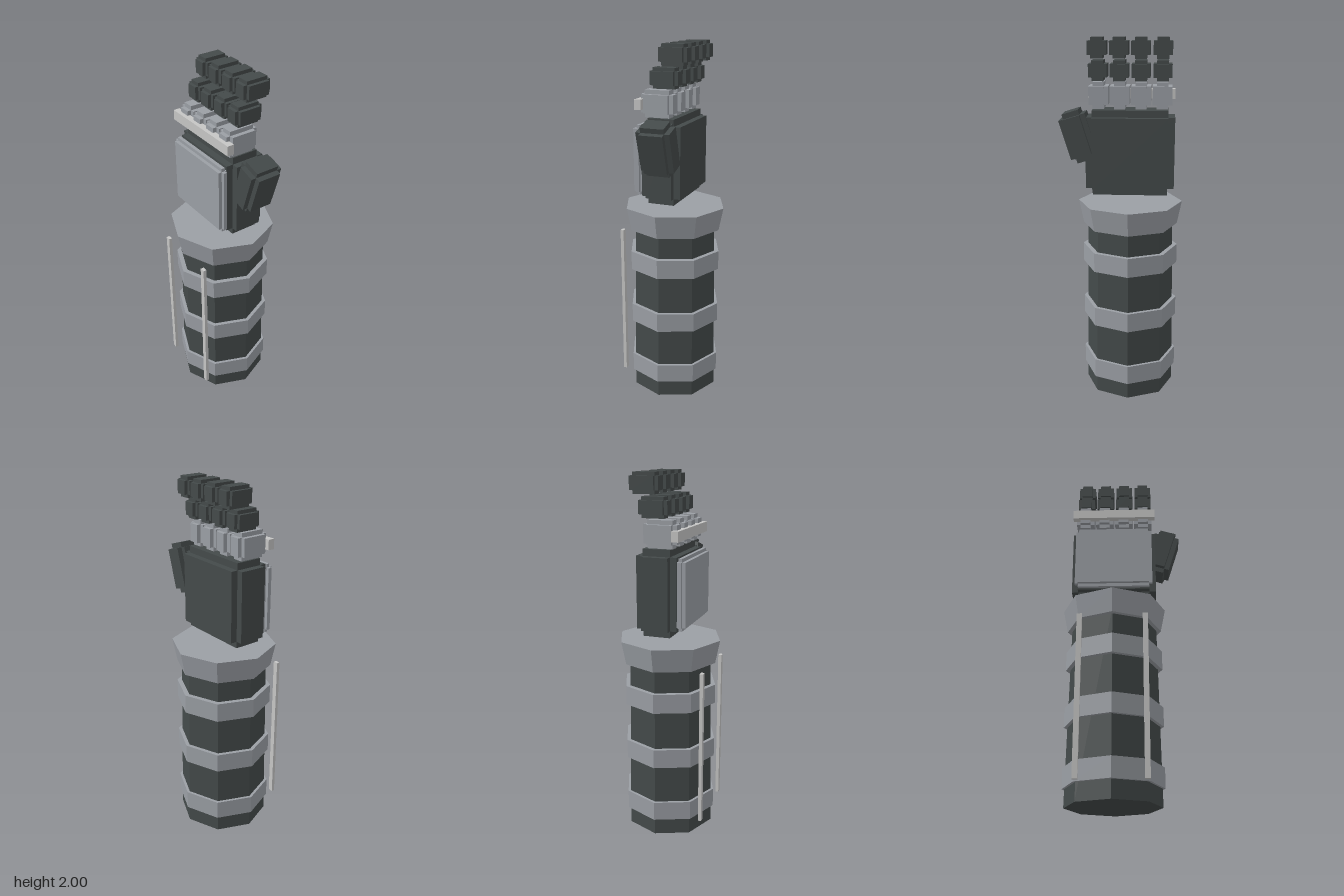
import * as THREE from 'three';

const AXIS = -0.049; // x of the arm's axis

export function createModel() {
  const mat = (name, color) => {
    const m = new THREE.MeshStandardMaterial({ color });
    m.name = name;
    return m;
  };
  const dark = mat('dark metal', 0x444a4a);
  const grey = mat('grey armour', 0x9b9fa5);
  const light = mat('light trim', 0xc6c6c5);

  const model = new THREE.Group();
  model.name = 'mechanicalArm';

  const box = (parent, name, m, w, h, d, x = 0, y = 0, z = 0) => {
    const mesh = new THREE.Mesh(new THREE.BoxGeometry(w, h, d), m);
    mesh.name = name;
    mesh.position.set(x, y, z);
    parent.add(mesh);
    return mesh;
  };

  // Block with stepped edges: three crossing boxes, each full size on one axis
  const steppedBlock = (name, m, [w, h, d], step, [x, y, z]) => {
    const g = new THREE.Group();
    g.name = name;
    const s = step * 2;
    box(g, name + 'Wide', m, w, h - s, d - s);
    box(g, name + 'Tall', m, w - s, h, d - s);
    box(g, name + 'Deep', m, w - s, h - s, d);
    g.position.set(x, y, z);
    model.add(g);
    return g;
  };

  // Eight-sided drum between two heights
  const drum = (name, m, rTop, rBottom, y0, y1) => {
    const geo = new THREE.CylinderGeometry(rTop, rBottom, y1 - y0, 8).toNonIndexed();
    geo.computeVertexNormals();
    const mesh = new THREE.Mesh(geo, m);
    mesh.name = name;
    mesh.position.set(AXIS, (y0 + y1) / 2, 0);
    model.add(mesh);
  };

  // Forearm, armour bands and wrist collar
  drum('forearm', dark, 0.238, 0.254, 0, 1.02);
  for (const y of [0.15, 0.475, 0.8]) drum('armBand', grey, 0.267, 0.267, y - 0.054, y + 0.054);
  drum('wristCollar', grey, 0.29, 0.264, 0.98, 1.11);

  // Rods along the front of the forearm
  for (const side of [-1, 1]) {
    box(model, 'forearmRod', light, 0.028, 0.88, 0.0185, AXIS + side * 0.176, 0.535, 0.245);
  }

  // Palm, hand plate and knuckle bar
  steppedBlock('palm', dark, [0.482, 0.462, 0.222], 0.037, [AXIS, 1.39, 0]);
  steppedBlock('handPlate', grey, [0.44, 0.38, 0.056], 0.0185, [AXIS, 1.39, 0.13]);
  box(model, 'knuckleBar', light, 0.483, 0.054, 0.037, AXIS, 1.693, 0.1135);

  // Four fingers of three segments, curling backward
  for (let i = 0; i < 4; i++) {
    const x = AXIS + (i - 1.5) * 0.1143;
    steppedBlock('fingerBase', grey, [0.105, 0.143, 0.181], 0.0225, [x, 1.696, 0.0205]);
    steppedBlock('fingerMiddle', dark, [0.099, 0.107, 0.157], 0.0185, [x, 1.828, -0.018]);
    steppedBlock('fingerTip', dark, [0.099, 0.107, 0.157], 0.0185, [x, 1.946, -0.0655]);
  }

  // Thumb, leaning outward
  const thumb = steppedBlock('thumb', dark, [0.148, 0.277, 0.185], 0.0277, [0.2315, 1.48, -0.0185]);
  thumb.rotation.z = -0.3;

  return model;
}
